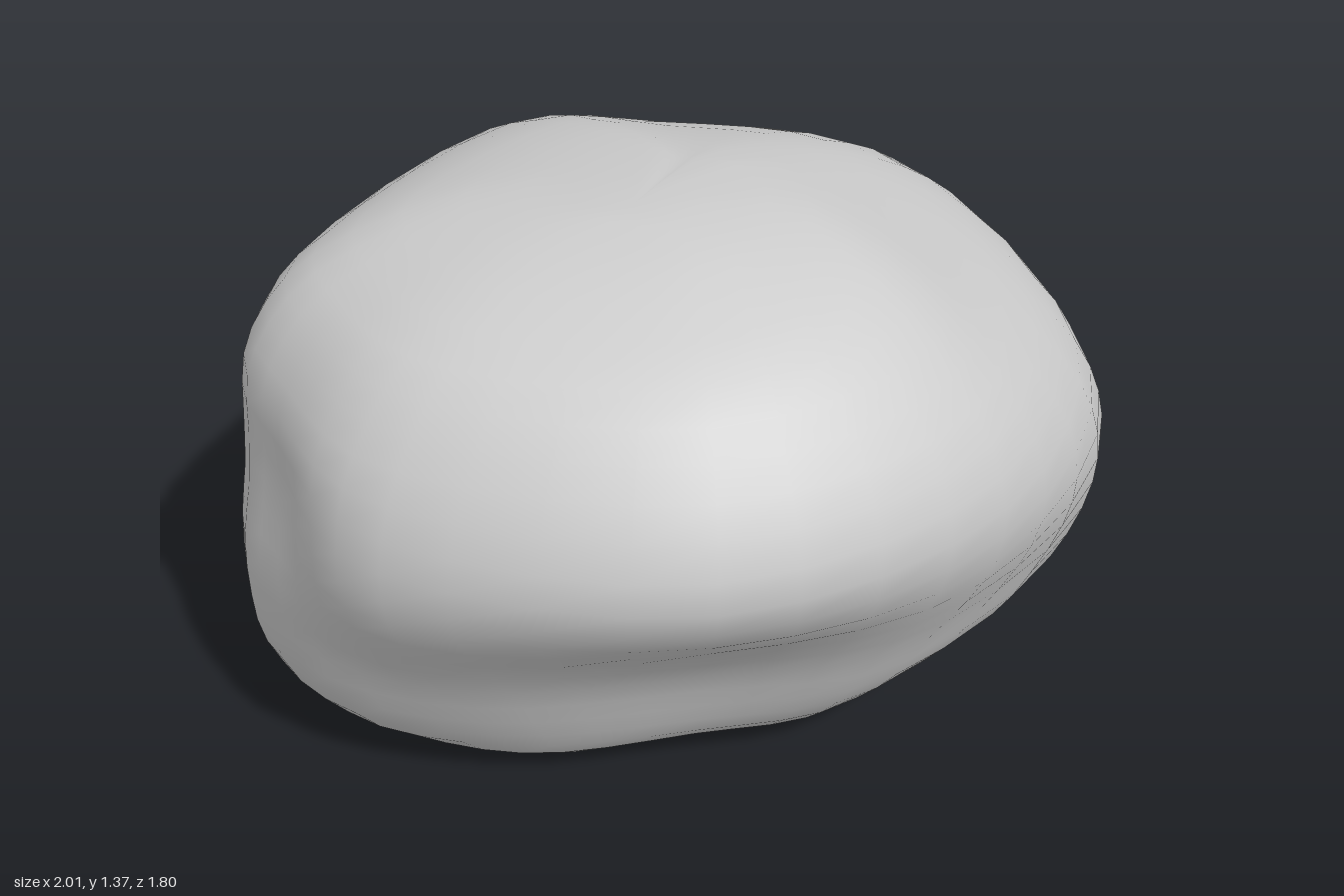
import * as THREE from 'three';
import { mergeVertices } from 'three/addons/utils/BufferGeometryUtils.js';

// Directions of the meridians in degrees, from +x through +z, -x and -z
const ANGLES = [0, 45, 90, 132, 157, 180, 234, 270, 316];
// Horizontal sections: height, then the radius in each direction
const SECTIONS = [
  [0.00, [0.36, 0.31, 0.25, 0.38, 0.42, 0.42, 0.52, 0.60, 0.50]],
  [0.05, [0.53, 0.43, 0.36, 0.54, 0.67, 0.74, 0.75, 0.75, 0.66]],
  [0.15, [0.72, 0.54, 0.46, 0.64, 0.86, 0.91, 0.88, 0.86, 0.83]],
  [0.28, [0.89, 0.64, 0.52, 0.72, 0.94, 0.98, 0.94, 0.89, 0.96]],
  [0.42, [0.97, 0.71, 0.58, 0.79, 0.97, 0.99, 0.93, 0.86, 1.03]],
  [0.58, [1.00, 0.80, 0.70, 0.89, 0.98, 0.98, 0.91, 0.84, 1.06]],
  [0.72, [0.98, 0.86, 0.83, 0.96, 0.96, 0.96, 0.92, 0.85, 1.04]],
  [0.86, [0.91, 0.87, 0.90, 0.97, 0.94, 0.95, 0.91, 0.84, 0.98]],
  [1.00, [0.78, 0.82, 0.86, 0.93, 0.93, 0.93, 0.87, 0.77, 0.86]],
  [1.12, [0.61, 0.72, 0.77, 0.85, 0.87, 0.87, 0.77, 0.64, 0.70]],
  [1.22, [0.46, 0.60, 0.66, 0.74, 0.77, 0.76, 0.61, 0.47, 0.50]],
  [1.30, [0.30, 0.44, 0.48, 0.55, 0.58, 0.57, 0.40, 0.25, 0.27]],
  [1.345, [0.12, 0.24, 0.34, 0.36, 0.36, 0.29, 0.12, 0.04, 0.06]],
];
const BOTTOM = new THREE.Vector3(0.02, 0.005, -0.12);
const TOP = new THREE.Vector3(-0.12, 1.365, 0.2);

function createBoulderGeometry(rows = 28, around = 36) {
  // One smooth meridian per direction, from the underside to the crown
  const meridians = ANGLES.map((degrees, d) => {
    const a = THREE.MathUtils.degToRad(degrees);
    const points = SECTIONS.map(([y, radii], i) => {
      // The underside hollows slightly towards -x
      const lift = i === 0 ? 0.07 * Math.max(0, -Math.cos(a)) : 0;
      return new THREE.Vector3(Math.cos(a) * radii[d], y + lift, Math.sin(a) * radii[d]);
    });
    return new THREE.CatmullRomCurve3([BOTTOM, ...points, TOP], false, 'catmullrom', 0.5);
  });

  // Closed rings across the meridians
  const positions = [];
  for (let v = 0; v <= rows; v++) {
    const ring = new THREE.CatmullRomCurve3(
      meridians.map((m) => m.getPoint(v / rows)), true, 'catmullrom', 0.5);
    for (let u = 0; u < around; u++) {
      const p = ring.getPoint(u / around);
      positions.push(p.x, Math.max(0, p.y), p.z);
    }
  }

  // Faces between rings, leaving out the collapsed ones at the poles
  const index = [];
  for (let v = 0; v < rows; v++) {
    for (let u = 0; u < around; u++) {
      const n = (u + 1) % around;
      const a = v * around + u, b = v * around + n;
      const c = a + around, d = b + around;
      if (v > 0) index.push(a, c, b);
      if (v < rows - 1) index.push(b, c, d);
    }
  }
  let geometry = new THREE.BufferGeometry();
  geometry.setAttribute('position', new THREE.Float32BufferAttribute(positions, 3));
  geometry.setIndex(index);
  geometry = mergeVertices(geometry, 1e-4);
  geometry.computeVertexNormals();
  return geometry;
}

export function createModel() {
  const group = new THREE.Group();
  group.name = 'rock';
  const boulder = new THREE.Mesh(
    createBoulderGeometry(),
    new THREE.MeshStandardMaterial({ color: 0xcccccc }));
  boulder.name = 'boulder';
  group.add(boulder);
  return group;
}
